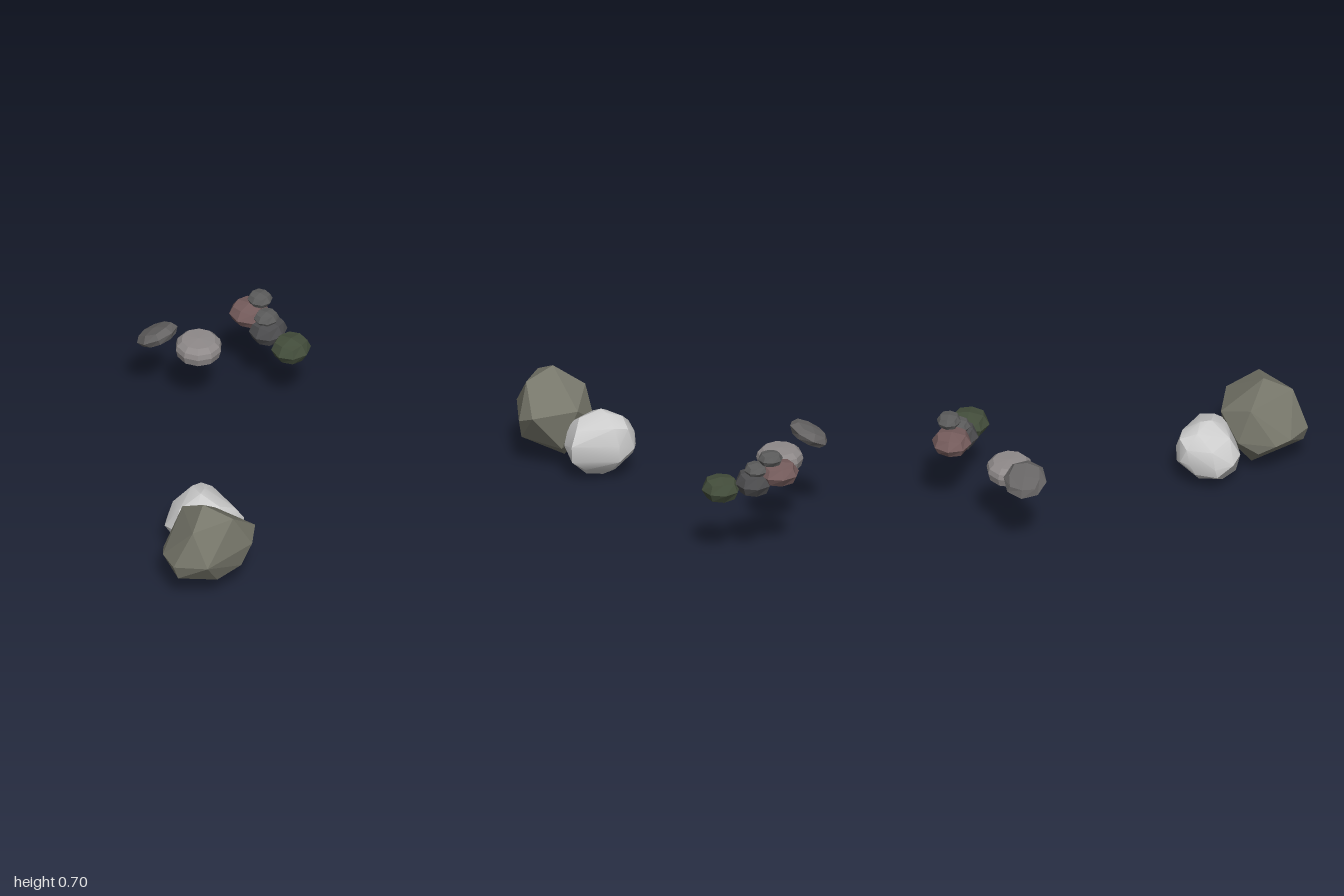
import * as THREE from 'three';
import { toCreasedNormals } from 'three/addons/utils/BufferGeometryUtils.js';
import { ConvexGeometry } from 'three/addons/geometries/ConvexGeometry.js';

const V = (p) => new THREE.Vector3(...p);

// Boulder: convex hull of a few corner points
function boulder(name, points, color, crease) {
  const hull = new ConvexGeometry(points.map(V));
  const mat = new THREE.MeshStandardMaterial({ color, flatShading: !crease });
  const mesh = new THREE.Mesh(crease ? toCreasedNormals(hull, crease) : hull, mat);
  mesh.name = name;
  return mesh;
}

// Pebble: subdivided box pushed out to a flattened, blunt-topped ball
function pebble(name, centre, radii, color, blunt = 0.7, tilt = 0) {
  const geo = new THREE.BoxGeometry(2, 2, 2, 2, 2, 2);
  const pos = geo.attributes.position;
  const v = new THREE.Vector3();
  for (let i = 0; i < pos.count; i++) {
    v.fromBufferAttribute(pos, i).normalize();
    const y = Math.sign(v.y) * Math.abs(v.y) ** blunt;
    pos.setXYZ(i, v.x * radii[0], y * radii[1], v.z * radii[2]);
  }
  geo.computeVertexNormals();
  const mesh = new THREE.Mesh(geo, new THREE.MeshStandardMaterial({ color, flatShading: true }));
  mesh.name = name;
  mesh.position.set(...centre);
  mesh.rotation.z = tilt;
  return mesh;
}

export function createModel() {
  const group = new THREE.Group();
  group.name = 'rocks';

  // Large angular boulder
  group.add(boulder('darkBoulder', [
    [0.55, 0.577, 0.74], [0.72, 0.52, 0.68], [0.37, 0.46, 0.7], [0.6, 0.49, 0.9],
    [0.46, 0.38, 0.51], [0.73, 0.37, 0.488], [0.785, 0.32, 0.587], [0.72, 0.3, 0.915],
    [0.54, 0.28, 1], [0.405, 0.27, 0.926], [0.35, 0.25, 0.85], [0.332, 0.26, 0.635],
    [0.345, 0.19, 0.75], [0.755, 0.19, 0.65], [0.55, 0.19, 0.97], [0.495, 0.04, 0.68],
    [0.55, 0.15, 0.52], [0.7, 0.15, 0.8],
  ], 0x76766a, 0));

  // Worn rounded boulder leaning against it
  group.add(boulder('lightBoulder', [
    // top
    [0.21, 0.33, 0.32], [0.29, 0.34, 0.32], [0.31, 0.395, 0.42], [0.22, 0.37, 0.42],
    [0.33, 0.4, 0.48], [0.46, 0.36, 0.47], [0.5, 0.32, 0.38], [0.27, 0.33, 0.6],
    [0.36, 0.36, 0.55], [0.5, 0.3, 0.55], [0.16, 0.29, 0.37], [0.16, 0.29, 0.52],
    // sides
    [0.137, 0.19, 0.54], [0.148, 0.2, 0.39], [0.17, 0.2, 0.33], [0.267, 0.24, 0.287],
    [0.267, 0.14, 0.292], [0.535, 0.24, 0.34], [0.53, 0.14, 0.35], [0.55, 0.2, 0.46],
    [0.19, 0.2, 0.635], [0.28, 0.22, 0.658], [0.34, 0.2, 0.64],
    // underside
    [0.16, 0.13, 0.42], [0.15, 0.13, 0.55], [0.26, 0.04, 0.42], [0.25, 0.06, 0.56],
    [0.325, 0.002, 0.45], [0.37, 0, 0.47], [0.43, 0.03, 0.42], [0.47, 0.05, 0.5],
    [0.34, 0.07, 0.62], [0.3, 0.06, 0.36], [0.45, 0.08, 0.36], [0.5, 0.1, 0.55],
  ], 0xcccccc, 0.55));

  // Stacked pebbles at the back
  group.add(
    pebble('brownPebble', [-0.385, 0.55, -0.885], [0.118, 0.066, 0.115], 0x755c5c),
    pebble('charcoalPebble', [-0.24, 0.5, -0.872], [0.107, 0.072, 0.115], 0x4c4c4e),
    pebble('greenPebble', [-0.055, 0.47, -0.847], [0.112, 0.07, 0.117], 0x434d3b),
    pebble('topPebble', [-0.33, 0.656, -0.912], [0.073, 0.041, 0.07], 0x5c5c5c),
    pebble('middlePebble', [-0.255, 0.578, -0.875], [0.07, 0.04, 0.075], 0x5c5c5c),
  );

  // Tilted flat pebble
  group.add(pebble('tiltedPebble', [-0.674, 0.542, -0.403], [0.125, 0.046, 0.125], 0x666464, 0.55, 0.51));

  // Flat-topped domed pebble
  const profile = [[0, -0.058], [0.09, -0.058], [0.123, -0.046], [0.135, 0], [0.127, 0.03], [0.098, 0.057], [0, 0.062]];
  const dome = new THREE.Mesh(
    new THREE.LatheGeometry(profile.map(([r, y]) => new THREE.Vector2(r, y)), 10),
    new THREE.MeshStandardMaterial({ color: 0x8f8a8a, flatShading: true }),
  );
  dome.name = 'domedPebble';
  dome.position.set(-0.475, 0.471, -0.53);
  group.add(dome);

  return group;
}
